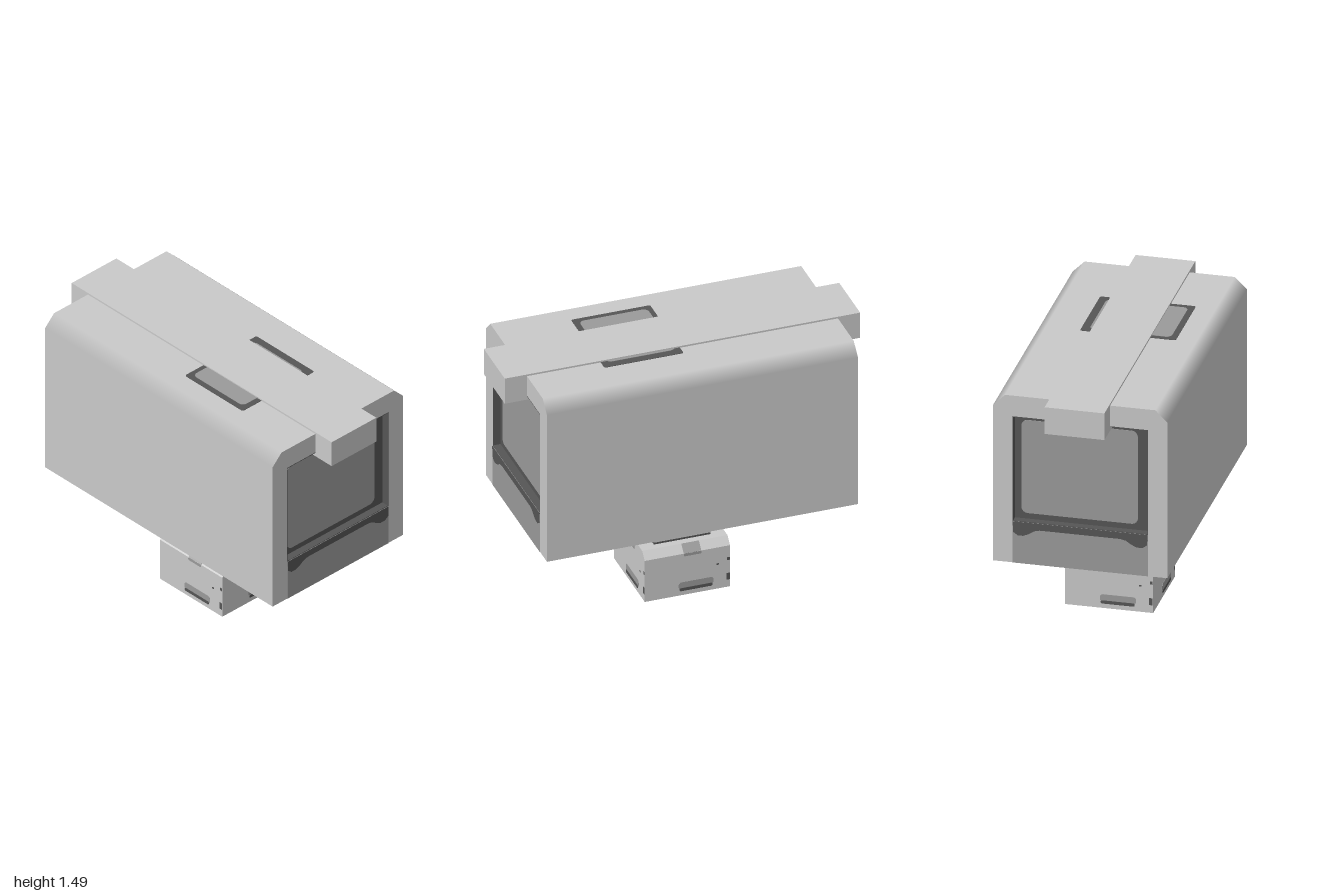
import * as THREE from 'three';

const mat = (name, color) => {
  const m = new THREE.MeshStandardMaterial({ color });
  m.name = name;
  return m;
};

// Shape helpers
const poly = pts => new THREE.Shape(pts.map(p => new THREE.Vector2(...p)));
const rect = (x0, y0, x1, y1) => poly([[x0, y0], [x1, y0], [x1, y1], [x0, y1]]);
function rounded(x0, y0, x1, y1, r) {
  const s = new THREE.Shape();
  s.absarc(x1 - r, y0 + r, r, -Math.PI / 2, 0);
  s.absarc(x1 - r, y1 - r, r, 0, Math.PI / 2);
  s.absarc(x0 + r, y1 - r, r, Math.PI / 2, Math.PI);
  s.absarc(x0 + r, y0 + r, r, Math.PI, Math.PI * 1.5);
  return s;
}
const shoulders = (w, y0, y1, cx, cy) => poly([
  [-w, y0], [w, y0], [w, y1 - cy], [w - cx, y1], [-w + cx, y1], [-w, y1 - cy]]);

export function createModel() {
  const model = new THREE.Group();
  const light = mat('lightGrey', 0xc9c9c9);
  const mid = mat('midGrey', 0x9a9a9a);
  const dark = mat('darkGrey', 0x555555);

  function add(parent, name, geometry, material, x = 0, y = 0, z = 0) {
    const m = new THREE.Mesh(geometry, material);
    m.name = name;
    m.position.set(x, y, z);
    parent.add(m);
    return m;
  }
  const extrude = (shape, depth) =>
    new THREE.ExtrudeGeometry(shape, { depth, bevelEnabled: false, curveSegments: 5 });
  const plate = (parent, name, shape, material, z, depth = 0.003) =>
    add(parent, name, extrude(shape, depth), material, 0, 0, z);
  function group(parent, name) {
    const g = new THREE.Group();
    g.name = name;
    parent.add(g);
    return g;
  }

  // Blend normals across the sloping shoulders of the housing
  function softenShoulders(g) {
    const p = g.attributes.position, n = g.attributes.normal;
    for (let i = 0; i < p.count; i++) {
      if (Math.abs(n.getX(i)) < 0.2 || n.getY(i) < 0.2) continue;
      if (p.getY(i) > 1.45) n.setXYZ(i, 0, 1, 0);
      else n.setXYZ(i, Math.sign(p.getX(i)), 0, 0);
    }
    return g;
  }

  // Housing core, with a framed recess at each end
  const profile = () => shoulders(0.475, 0.51, 1.48, 0.065, 0.065);
  add(model, 'housing', softenShoulders(extrude(profile(), 1.66)), light, 0, 0, -0.83);

  for (const turn of [0, Math.PI]) {
    const end = group(model, turn ? 'backEnd' : 'frontEnd');
    end.rotation.y = turn;

    const rim = profile();
    rim.holes.push(rect(-0.37, 0.75, 0.37, 1.36));
    add(end, 'rim', softenShoulders(extrude(rim, 0.045)), light, 0, 0, 0.83);

    const liner = rect(-0.37, 0.75, 0.37, 1.36);
    liner.holes.push(rect(-0.366, 0.754, 0.366, 1.356));
    plate(end, 'recessLiner', liner, dark, 0.83, 0.045);
    plate(end, 'windowFrame', rect(-0.368, 0.752, 0.368, 1.358), dark, 0.83);
    plate(end, 'window', rounded(-0.33, 0.787, 0.305, 1.328, 0.035), mid, 0.833);
    plate(end, 'lowerPanel', rect(-0.37, 0.51, 0.37, 0.75), mid, 0.875, 0.002);

    // Dark lip with a drooping lobe at each corner
    const half = [[0.368, 0.75], [0.365, 0.69], [0.34, 0.672], [0.31, 0.672],
      [0.28, 0.685], [0.25, 0.705], [0.22, 0.712]];
    const lip = poly([...half, ...half.map(([x, y]) => [-x, y]).reverse()]);
    plate(end, 'lowerLip', lip, dark, 0.877, 0.002);
  }

  // Rail along the roof
  add(model, 'topRail', new THREE.BoxGeometry(0.326, 0.155, 2), light, 0, 1.4125, 0);

  // Roof hatch under the rail
  const roof = group(model, 'roofHatch');
  roof.rotation.x = -Math.PI / 2;
  roof.position.y = 1.48;
  plate(roof, 'hatchFrame', rounded(-0.3, -0.46, 0.222, -0.015, 0.012), dark, 0, 0.002);
  plate(roof, 'hatchPanel', rounded(-0.268, -0.428, 0.178, -0.043, 0.03), mid, 0.002, 0.002);

  // Slots under the housing
  for (const x of [-0.36, 0.345])
    add(model, 'undersideSlot', new THREE.BoxGeometry(0.11, 0.004, 0.04), dark, x, 0.509, -0.33);

  // Stand base
  const base = group(model, 'standBase');
  add(base, 'baseBlock', extrude(shoulders(0.24, 0, 0.293, 0.04, 0.04), 0.48), light, 0, 0, -0.24);

  for (let i = 0; i < 4; i++) {
    const side = group(base, 'baseSide');
    side.rotation.y = i * Math.PI / 2;
    const sloped = i % 2 === 1;
    plate(side, 'vent', rounded(-0.05, 0.036, 0.147, 0.08, 0.018), mid, 0.24, 0.002);
    plate(side, 'ventSlot', rounded(-0.045, 0.027, 0.14, 0.045, 0.008), dark, 0.242, 0.002);
    plate(side, 'edgeMark', rect(0.219, 0.045, 0.238, 0.085), dark, 0.24, 0.002);
    plate(side, 'upperMark', rect(0.223, 0.165, 0.238, 0.182), dark, 0.24, 0.002);
    plate(side, 'dot', rect(0.164, 0.147, 0.177, 0.156), dark, 0.24, 0.002);
    plate(side, 'socket', rounded(-0.02, 0.237, 0.078, sloped ? 0.253 : 0.293, 0.006), mid, 0.24, 0.002);
    if (sloped) {
      const slope = add(side, 'socketSlope', new THREE.BoxGeometry(0.098, 0.056, 0.003), mid, 0.029, 0.273, 0.22);
      slope.rotation.x = -Math.PI / 4;
    }
  }
  add(base, 'undersideVent', new THREE.BoxGeometry(0.19, 0.003, 0.045), dark, -0.05, 0, 0.17);

  // Tapered square collar with a dark foot
  add(model, 'collarFoot', new THREE.BoxGeometry(0.32, 0.012, 0.32), dark, 0, 0.298, 0);
  const collar = new THREE.CylinderGeometry(0.125 * Math.SQRT2, 0.16 * Math.SQRT2, 0.038, 4, 1)
    .rotateY(Math.PI / 4).toNonIndexed();
  collar.computeVertexNormals();
  add(model, 'collar', collar, mid, 0, 0.323, 0);

  // Post and its wider head
  add(model, 'post', new THREE.BoxGeometry(0.036, 0.06, 0.036), mid, 0, 0.365, 0);
  add(model, 'postHead', new THREE.BoxGeometry(0.036, 0.095, 0.06), mid, 0, 0.4375, 0);

  return model;
}
